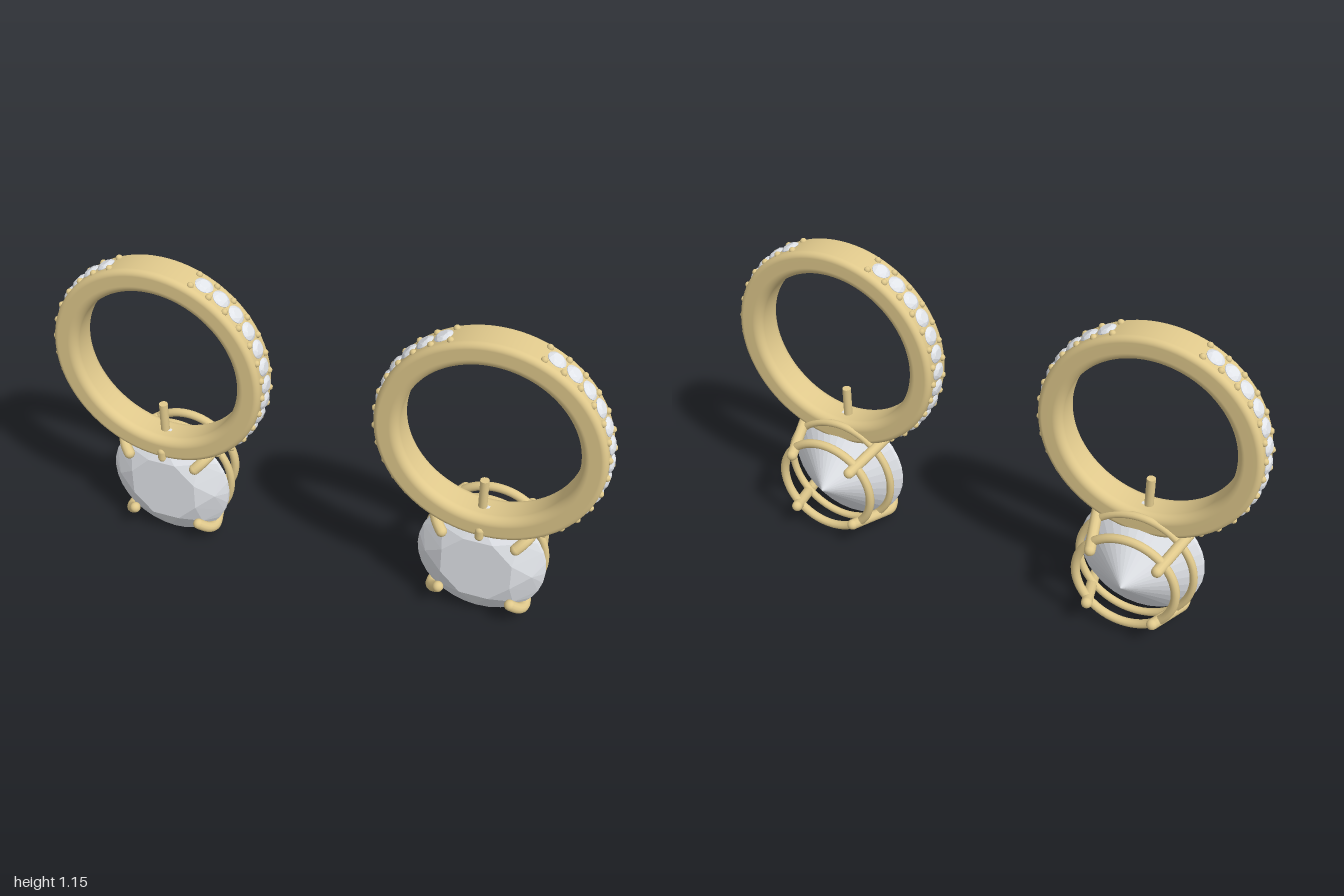
import * as THREE from 'three';
import { ConvexGeometry } from 'three/addons/geometries/ConvexGeometry.js';

const gold = new THREE.MeshStandardMaterial({ color: 0xe0c98c });
const crystal = new THREE.MeshStandardMaterial({ color: 0xe2e5ea, flatShading: true });
const V = (x, y, z) => new THREE.Vector3(x, y, z);

const HOOP_Y = 0.767, HOOP_R = 0.392, HOOP_INNER = 0.304, MID_Z = 0.065;
const GEM_Y = 0.235, GEM_R = 0.23;

function add(parent, name, geometry, material, x = 0, y = 0, z = 0) {
  const mesh = new THREE.Mesh(geometry, material);
  mesh.name = name;
  mesh.position.set(x, y, z);
  parent.add(mesh);
  return mesh;
}

// Round brilliant cut: table toward +z, point toward -z
function brilliant() {
  const points = [V(0, 0, -0.2)];
  const circle = (count, r, z, turn = 0) => {
    for (let i = 0; i < count; i++) {
      const a = ((i + turn) / count) * Math.PI * 2;
      points.push(V(r * Math.cos(a), r * Math.sin(a), z));
    }
  };
  circle(8, 0.135, 0.072, 0.5);
  circle(8, 0.192, 0.042);
  circle(32, GEM_R, 0.007);
  circle(32, GEM_R, -0.007);
  return new ConvexGeometry(points);
}

// Band with softened corners, turned about the z axis
function hoopGeometry() {
  const h = 0.065, ro = 0.02, ri = 0.03;
  const s = new THREE.Shape();
  s.absarc(HOOP_R - ro, h - ro, ro, 0, Math.PI / 2);
  s.absarc(HOOP_INNER + ri, h - ri, ri, Math.PI / 2, Math.PI);
  s.absarc(HOOP_INNER + ri, -h + ri, ri, Math.PI, Math.PI * 1.5);
  s.absarc(HOOP_R - ro, -h + ro, ro, Math.PI * 1.5, Math.PI * 2);
  s.closePath();
  return new THREE.LatheGeometry(s.getPoints(6), 96).rotateX(Math.PI / 2);
}

// Claw bent over the edge of the gem, with rounded ends
function claw(parent, angle) {
  const at = (r, z) => V(r * Math.cos(angle), r * Math.sin(angle), z);
  const path = new THREE.CurvePath();
  const a = at(0.172, -0.13), b = at(0.236, 0.045), c = at(0.185, 0.132);
  path.add(new THREE.LineCurve3(a, b));
  path.add(new THREE.QuadraticBezierCurve3(b, at(0.258, 0.098), c));
  const group = new THREE.Group();
  group.name = 'claw';
  add(group, 'clawWire', new THREE.TubeGeometry(path, 32, 0.02, 12), gold);
  for (const p of [a, c]) {
    add(group, 'clawTip', new THREE.SphereGeometry(0.02, 14, 10), gold, p.x, p.y, p.z);
  }
  parent.add(group);
}

function earring(name, x) {
  const group = new THREE.Group();
  group.name = name;
  group.position.x = x;
  const gem = brilliant();

  // Hoop and the post inside it
  add(group, 'hoop', hoopGeometry(), gold, 0, HOOP_Y, MID_Z);
  add(group, 'post', new THREE.CylinderGeometry(0.016, 0.016, 0.14, 16), gold, -0.01, 0.506, MID_Z);

  // Rows of small stones with beads along both flanks of the hoop
  const stone = gem.clone().scale(0.142, 0.142, 0.142);
  const bead = new THREE.SphereGeometry(0.012, 10, 8);
  const step = THREE.MathUtils.degToRad(10.4);
  for (const side of [1, -1]) {
    for (let i = -6; i <= 6; i++) {
      const d = V(side * Math.cos(i * step), Math.sin(i * step), 0);
      const r = HOOP_R + 0.001;
      const m = add(group, 'smallStone', stone, crystal, d.x * r, HOOP_Y + d.y * r, MID_Z);
      m.quaternion.setFromUnitVectors(V(0, 0, 1), d);
    }
    for (let i = -6.5; i <= 6.5; i++) {
      for (const dz of [-0.036, 0.036]) {
        add(group, 'bead', bead, gold, side * HOOP_R * Math.cos(i * step),
          HOOP_Y + HOOP_R * Math.sin(i * step), MID_Z + dz);
      }
    }
  }

  // Large gem in its basket of two rails and four claws
  const setting = new THREE.Group();
  setting.name = 'setting';
  setting.position.y = GEM_Y;
  group.add(setting);
  add(setting, 'gem', gem, crystal, 0, 0, MID_Z);
  add(setting, 'frontRail', new THREE.TorusGeometry(0.213, 0.014, 12, 64), gold, 0, 0, 0.005);
  add(setting, 'backRail', new THREE.TorusGeometry(0.184, 0.016, 12, 64), gold, 0, 0, -0.097);
  for (let i = 0; i < 4; i++) claw(setting, Math.PI / 4 + (i * Math.PI) / 2);

  // Small tab joining hoop and gem
  add(group, 'joiningTab', new THREE.CapsuleGeometry(0.017, 0.026, 6, 14), gold, 0, 0.39, 0.122);
  return group;
}

export function createModel() {
  const model = new THREE.Group();
  model.name = 'earrings';
  model.add(earring('rightEarring', -0.597), earring('leftEarring', 0.594));
  return model;
}
